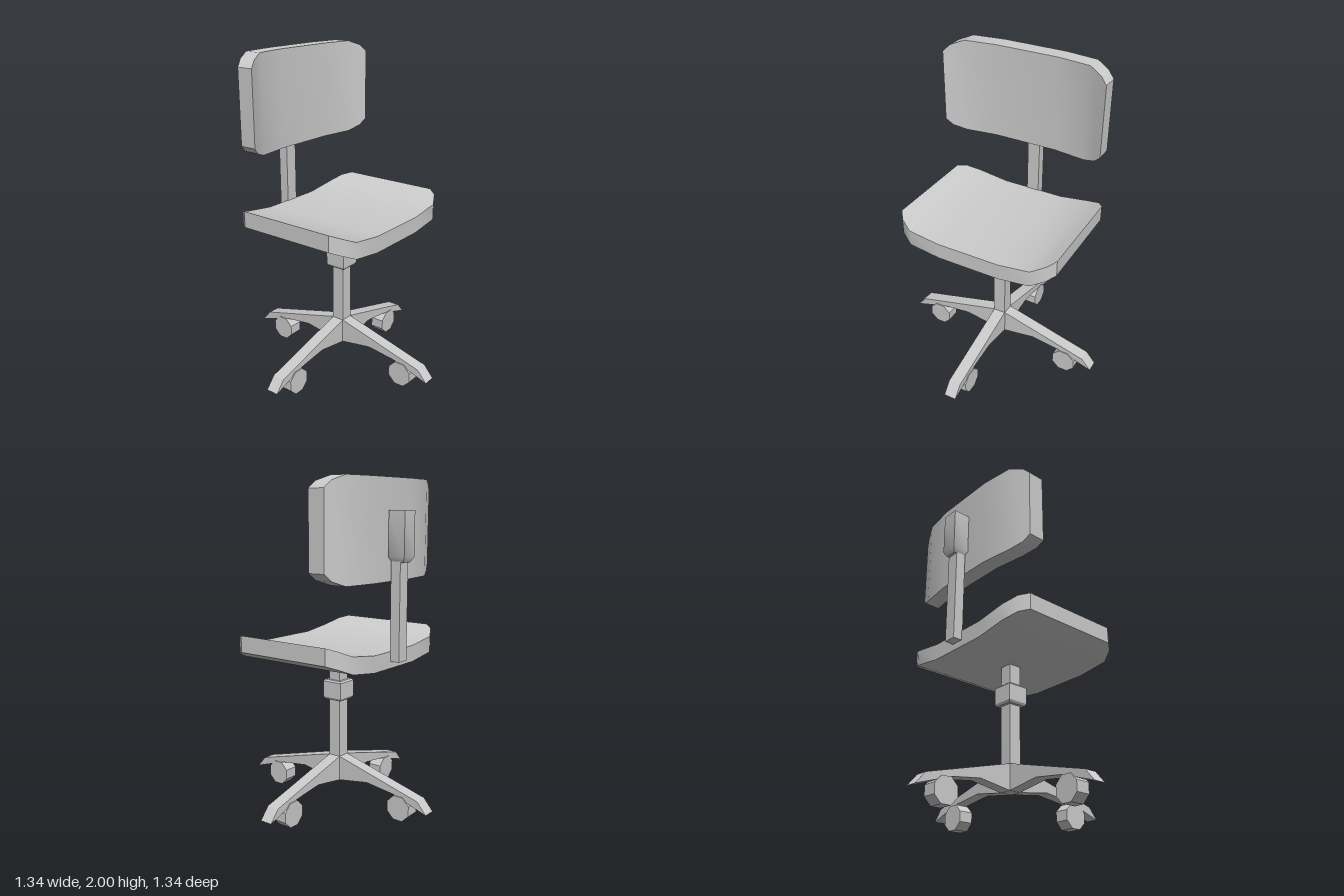
import * as THREE from 'three';
import { toCreasedNormals } from 'three/addons/utils/BufferGeometryUtils.js';

const material = new THREE.MeshStandardMaterial({ color: 0xcccccc });

function part(name, geometry, parent) {
  const mesh = new THREE.Mesh(toCreasedNormals(geometry, Math.PI / 6), material);
  mesh.name = name;
  parent.add(mesh);
  return mesh;
}

// Bent cushion lofted along x: its ends curl up towards +y, its corners are cut.
// Each station is [x, lift, inset from the full half depth].
function cushion(halfDepth, thickness, insets) {
  const half = [[0.2, 0, 0], [0.4, 0.027, 0], [0.48, 0.062, insets[0]], [0.52, 0.08, insets[1]]];
  const stations = [...half.map(([x, l, i]) => [-x, l, i]).reverse(), ...half];
  const rings = stations.map(([x, lift, inset]) => {
    const d = halfDepth - inset;
    return [[x, lift + thickness, d], [x, lift, d], [x, lift, -d], [x, lift + thickness, -d]];
  });
  const positions = [];
  const quad = (a, b, c, d) => positions.push(...a, ...b, ...c, ...a, ...c, ...d);
  for (let i = 0; i < rings.length - 1; i++) {
    for (let j = 0; j < 4; j++) {
      const k = (j + 1) % 4;
      quad(rings[i][j], rings[i][k], rings[i + 1][k], rings[i + 1][j]);
    }
  }
  const first = rings[0], last = rings[rings.length - 1];
  quad(first[0], first[3], first[2], first[1]);
  quad(...last);
  const geometry = new THREE.BufferGeometry();
  geometry.setAttribute('position', new THREE.Float32BufferAttribute(positions, 3));
  geometry.computeVertexNormals();
  return geometry;
}

// Square-section upright with closed ends; profile holds [half width, y] from the bottom up.
function squareTube(profile) {
  const closed = [[0, profile[0][1]], ...profile, [0, profile[profile.length - 1][1]]];
  const points = closed.map(([w, y]) => new THREE.Vector2(w * Math.SQRT2, y));
  return new THREE.LatheGeometry(points, 4, Math.PI / 4);
}

export function createModel() {
  const chair = new THREE.Group();
  chair.name = 'officeChair';

  // Seat and backrest
  part('seat', cushion(0.412, 0.1, [0.042, 0.097]), chair).position.y = 0.92;
  const back = cushion(0.29, 0.105, [0.03, 0.07]).rotateX(Math.PI / 2);
  part('backrest', back, chair).position.set(0, 1.71, -0.39);

  // Backrest support
  const post = part('backPost', squareTube([[0.04, 0.96], [0.04, 1.56]]), chair);
  post.scale.z = 0.78;
  post.position.z = -0.437;
  part('backBracket', squareTube([[0.036, 1.53], [0.053, 1.56], [0.053, 1.82]]), chair).position.z = -0.448;

  // Central column with its collar
  part('column', squareTube([[0.04, 0.15], [0.04, 0.93]]), chair);
  part('collar', squareTube([[0.058, 0.665], [0.067, 0.68], [0.067, 0.78], [0.058, 0.79]]), chair);

  // Four-legged base with a caster under each leg
  const legShape = new THREE.Shape([
    [0, 0.145], [0.04, 0.147], [0.25, 0.18], [0.44, 0.155], [0.67, 0.08],
    [0.61, 0.15], [0.04, 0.302], [0, 0.302],
  ].map(([x, y]) => new THREE.Vector2(x, y)));
  const legGeometry = new THREE.ExtrudeGeometry(legShape, { depth: 0.078, bevelEnabled: false });
  legGeometry.translate(0, 0, -0.039);
  const casterGeometry = new THREE.CylinderGeometry(0.081, 0.081, 0.09, 8, 1, false, Math.PI / 8);
  casterGeometry.rotateX(Math.PI / 2);

  const base = new THREE.Group();
  base.name = 'base';
  chair.add(base);
  for (let i = 0; i < 4; i++) {
    const arm = new THREE.Group();
    arm.name = 'baseArm' + (i + 1);
    arm.rotation.y = (i * Math.PI) / 2;
    part('leg', legGeometry, arm);
    part('caster', casterGeometry, arm).position.set(0.48, 0.075, 0);
    base.add(arm);
  }
  return chair;
}
